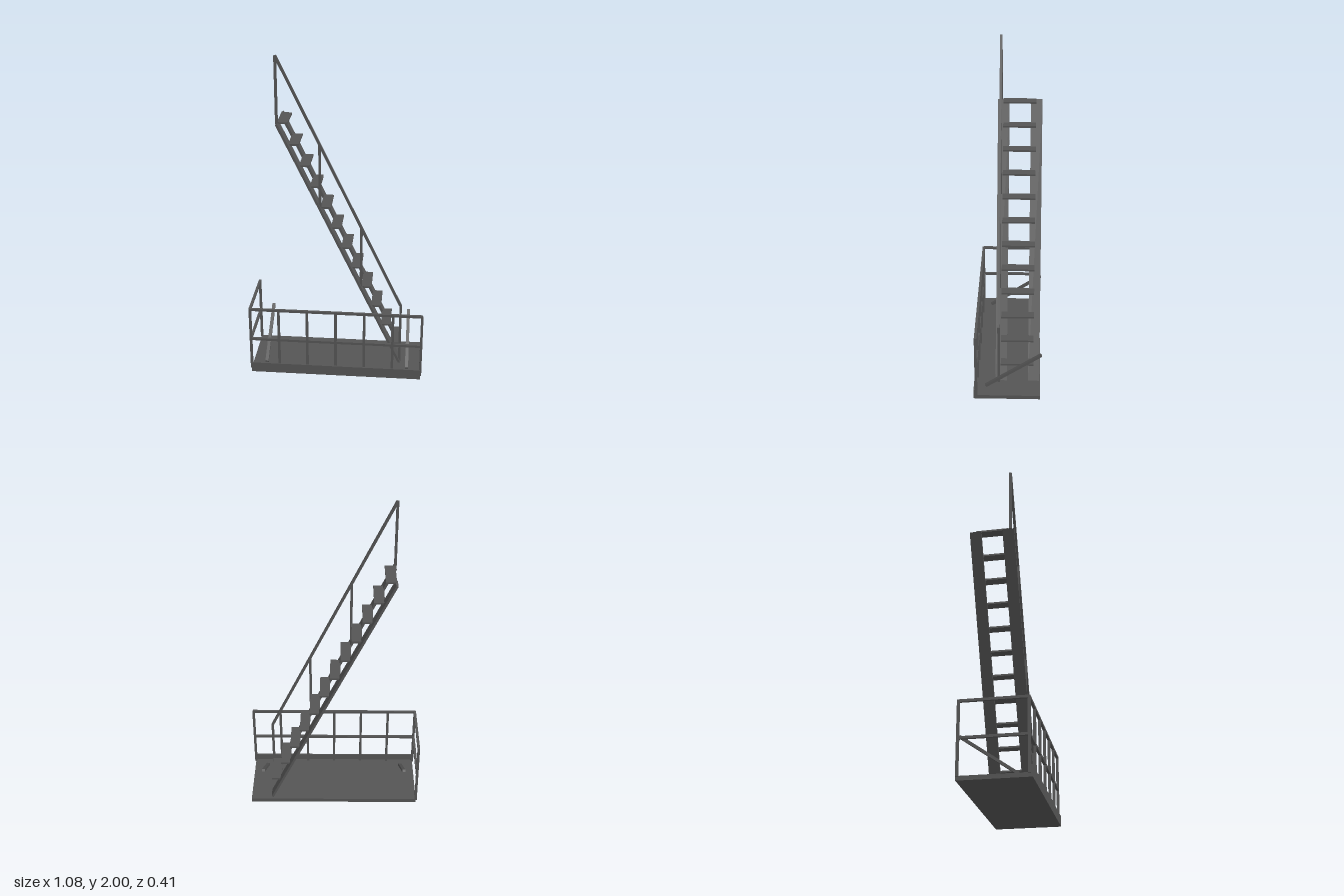
import * as THREE from 'three';

export function createModel() {
  const model = new THREE.Group();
  const steel = new THREE.MeshStandardMaterial({ color: 0x555555 });

  function box(name, w, h, d, x, y, z) {
    const mesh = new THREE.Mesh(new THREE.BoxGeometry(w, h, d), steel);
    mesh.name = name;
    mesh.position.set(x, y, z);
    model.add(mesh);
    return mesh;
  }

  // Bar between two points; w and t are the section sizes, the first one across x when the bar runs along z
  function bar(name, a, b, w = 0.015, t = 0.015) {
    const from = new THREE.Vector3(...a), to = new THREE.Vector3(...b);
    const mid = from.clone().add(to).multiplyScalar(0.5);
    const mesh = box(name, w, t, from.distanceTo(to), mid.x, mid.y, mid.z);
    mesh.lookAt(to);
    return mesh;
  }

  // Platform with a toe board along the front
  box('platform', 1.06, 0.025, 0.4, 0, 0.0125, 0);
  box('toeBoard', 1.06, 0.065, 0.008, 0, 0.0325, 0.2);

  // Guard rail along the front and the right end
  const railZ = 0.188, endX = -0.53, backZ = -0.193;
  for (let i = 0; i < 7; i++) {
    const x = endX + (i * 1.06) / 6;
    bar('guardPost', [x, 0.02, railZ], [x, 0.436, railZ]);
  }
  bar('guardPost', [endX, 0.02, backZ], [endX, 0.436, backZ]);
  for (const [name, y] of [['topRail', 0.437], ['midRail', 0.23]]) {
    bar(name, [-0.535, y, railZ], [0.535, y, railZ]);
    bar(name, [endX, y, railZ], [endX, y, -0.2]);
  }

  // Slanted support arms near both ends
  for (const s of [-1, 1]) {
    bar('supportArm', [s * 0.444, 0.033, 0.133], [s * 0.444, 0.267, -0.203], 0.02, 0.016);
  }

  // Stair slope: x on the stringer line for a given height
  const topX = -0.353, topY = 1.595, slope = 0.75 / 1.565;
  const stairX = (y) => topX + (topY - y) * slope;

  // Flat stringers
  const low = 0.035, angle = Math.atan(slope);
  for (const z of [0.041, -0.159]) {
    const length = (topY - low) / Math.cos(angle);
    const stringer = box('stringer', 0.014, length, 0.07,
      (topX + stairX(low)) / 2, (topY + low) / 2, z);
    stringer.rotation.z = angle;
  }

  // Treads
  for (let i = 0; i < 12; i++) {
    const y = topY - i * 0.1308;
    box('tread', 0.062, 0.011, 0.2, stairX(y) + 0.031, y, -0.057);
  }

  // Handrail on the front side of the stair
  const handZ = 0.055, rise = 0.4;
  for (let i = 0; i < 4; i++) {
    const x = topX + i * 0.2495;
    const y = topY - (i * 0.2495) / slope;
    bar('handrailPost', [x, i === 3 ? 0.025 : y, handZ], [x, y + rise, handZ]);
  }
  const endY = topY - 0.7485 / slope + rise;
  bar('handrail', [topX, topY + rise, handZ], [topX + 0.7485, endY, handZ]);

  return model;
}
